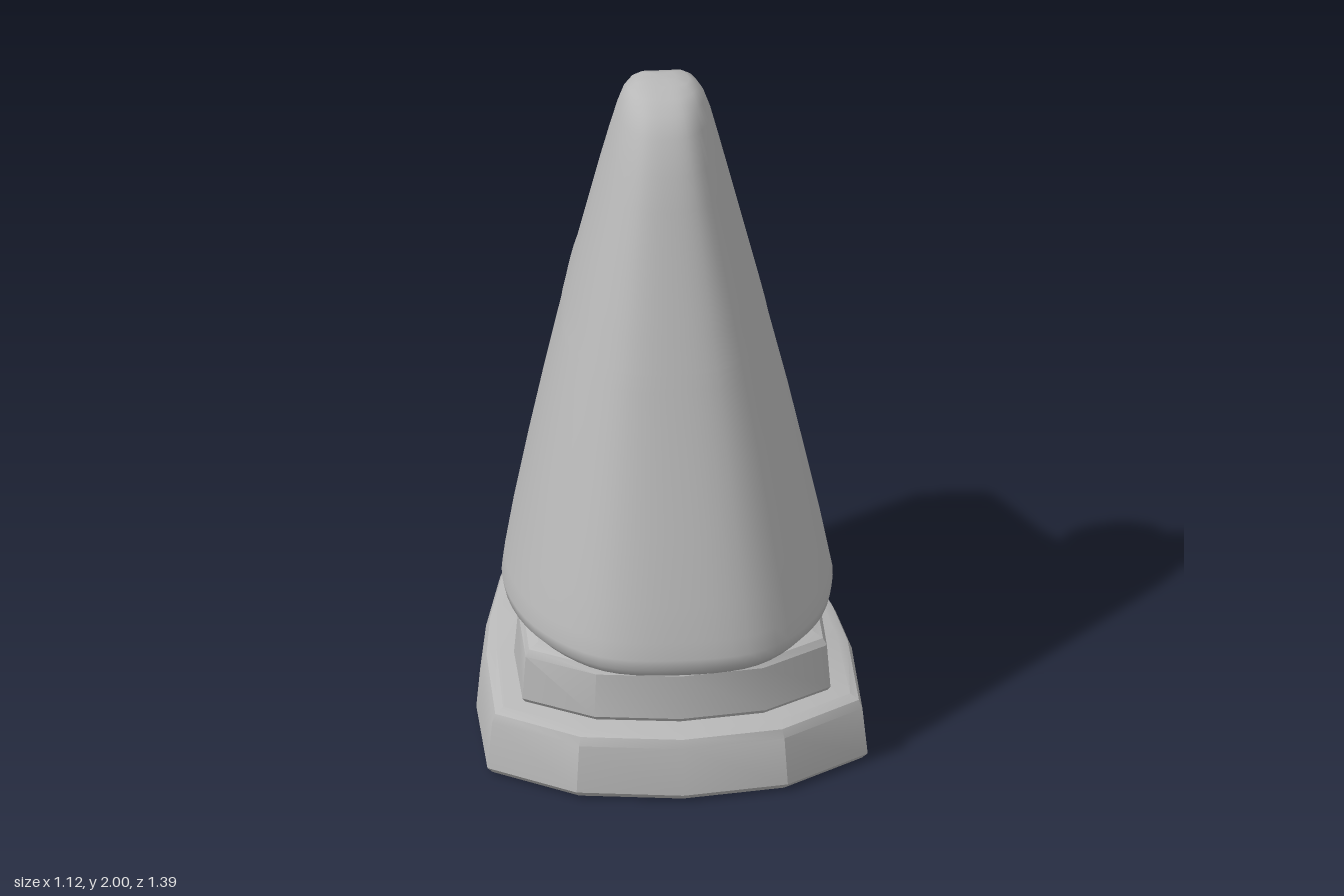
import * as THREE from 'three';
import { toCreasedNormals } from 'three/addons/utils/BufferGeometryUtils.js';

const { lerp, clamp } = THREE.MathUtils;

// Closed solid through rings of [x, y, z] points, bottom to top (front -> +x -> back -> -x)
function loft(rings) {
  const n = rings[0].length;
  const pos = [], idx = [];
  rings.forEach(r => r.forEach(p => pos.push(...p)));
  for (let j = 0; j < rings.length - 1; j++) {
    for (let i = 0; i < n; i++) {
      const a = j * n + i, b = j * n + (i + 1) % n;
      idx.push(a, b, a + n, b, b + n, a + n);
    }
  }
  [0, rings.length - 1].forEach((j, top) => {
    const c = pos.length / 3;
    const zs = rings[j].map(p => p[2]);
    pos.push(0, rings[j][0][1], (Math.min(...zs) + Math.max(...zs)) / 2);
    for (let i = 0; i < n; i++) {
      const a = j * n + i, b = j * n + (i + 1) % n;
      if (top) idx.push(c, a, b); else idx.push(c, b, a);
    }
  });
  const g = new THREE.BufferGeometry();
  g.setAttribute('position', new THREE.Float32BufferAttribute(pos, 3));
  g.setIndex(idx);
  g.computeVertexNormals();
  return g;
}

// Completes a half outline that starts and may end on x = 0
function mirrored(half) {
  const other = half.filter(p => p[0] > 0.001).reverse().map(([x, z]) => [-x, z]);
  return [...half, ...other];
}

// Angular slab with bevelled rims; levels are [y, inset]
function slab(half, levels, zMid) {
  const outline = mirrored(half);
  const rings = levels.map(([y, inset]) => outline.map(([x, z]) => {
    const k = 1 - inset / Math.hypot(x, z - zMid);
    return [x * k, y, zMid + (z - zMid) * k];
  }));
  return toCreasedNormals(loft(rings), 0.45);
}

// Body front and sides: [y, half width, front z]
const frontProfile = [
  [0.385, 0.41, 0.60], [0.395, 0.45, 0.645], [0.42, 0.478, 0.66], [0.45, 0.484, 0.657],
  [0.6, 0.454, 0.61], [1, 0.365, 0.463], [1.4, 0.267, 0.322], [1.8, 0.166, 0.18],
  [1.9, 0.14, 0.13], [1.95, 0.122, 0.085], [1.98, 0.104, 0.035], [1.995, 0.078, -0.015],
  [2, 0.04, -0.05],
];

// Body back with its notch: [y, back z, half width of the back face]
const backProfile = [
  [0.385, -0.26, 0.27], [0.395, -0.31, 0.3], [0.42, -0.385, 0.32], [0.45, -0.435, 0.33],
  [0.5, -0.48, 0.33], [0.6, -0.53, 0.305], [0.8, -0.595, 0.25], [1, -0.65, 0.18],
  [1.2, -0.695, 0.115], [1.225, -0.69, 0.11], [1.242, -0.66, 0.12], [1.25, -0.58, 0.16],
  [1.27, -0.46, 0.2], [1.3, -0.385, 0.222], [1.35, -0.32, 0.226], [1.4, -0.28, 0.22],
  [1.5, -0.237, 0.205], [1.6, -0.214, 0.185], [1.7, -0.2, 0.163], [1.8, -0.18, 0.14],
  [1.9, -0.157, 0.115], [1.95, -0.143, 0.1], [1.98, -0.132, 0.08], [1.995, -0.12, 0.06],
  [2, -0.1, 0.03],
];

// Half width and front z at height y
function frontAt(y) {
  const i = Math.max(1, frontProfile.findIndex(p => p[0] >= y));
  const [a, b] = [frontProfile[i - 1], frontProfile[i]];
  const t = (y - a[0]) / (b[0] - a[0]);
  return [lerp(a[1], b[1], t), lerp(a[2], b[2], t)];
}

// Smooth body ring: convex back face below the notch, scooped within it
function bodyRing([y, zb, bw]) {
  const [hw, zf] = frontAt(y);
  const zw = 0.16 - 0.11 * y;
  const scoop = 0.045 * Math.sin(Math.PI * Math.sqrt(clamp((y - 1.242) / 0.65, 0, 1)));
  const corner = zb + 0.028 * clamp((1.242 - y) / 0.1, 0, 1);
  const centre = zb + scoop;
  const half = [
    [0, zf],
    [hw * 0.5, lerp(zf, zw, 0.08)],
    [hw * 0.86, lerp(zf, zw, 0.45)],
    [hw, zw],
    [lerp(hw, bw, 0.42) + (hw - bw) * 0.08, lerp(zw, corner, 0.55)],
    [lerp(hw, bw, 0.94), lerp(zw, corner, 0.93)],
    [bw * 0.88, lerp(corner, centre, 0.1)],
    [bw * 0.45, lerp(corner, centre, 0.75)],
    [0, centre],
  ];
  const pts = mirrored(half).map(([x, z]) => new THREE.Vector3(x, y, z));
  const curve = new THREE.CatmullRomCurve3(pts, true, 'centripetal');
  return curve.getPoints(pts.length * 5).slice(0, -1).map(p => p.toArray());
}

export function createModel() {
  const group = new THREE.Group();
  const grey = new THREE.MeshStandardMaterial({ color: 0xb8b8b8 });
  grey.name = 'plain grey';
  const add = (name, geometry) => {
    const m = new THREE.Mesh(geometry, grey);
    m.name = name;
    group.add(m);
    return m;
  };

  // Faceted foot
  const footOutline = [
    [0, 0.695], [0.31, 0.65], [0.558, 0.48], [0.56, 0.1], [0.53, -0.13],
    [0.46, -0.43], [0.36, -0.535], [0, -0.54],
  ];
  add('base', slab(footOutline,
    [[0, 0.02], [0.02, 0], [0.165, 0.018], [0.19, 0.03], [0.203, 0.06]], 0.08));

  // Narrower collar above the foot
  const collarOutline = footOutline.map(([x, z]) => [x * 0.81, z * 0.755 + 0.077]);
  add('collar', slab(collarOutline,
    [[0.195, 0.05], [0.212, 0.01], [0.225, 0], [0.36, 0.012], [0.38, 0.025], [0.395, 0.06]], 0.13));

  // Tapering body with a scooped notch at the back
  add('body', loft(backProfile.map(bodyRing)));

  // Rounded knob under the tip
  const knob = add('knob', new THREE.SphereGeometry(1, 32, 20));
  knob.scale.set(0.1, 0.16, 0.09);
  knob.position.set(0, 1.815, -0.165);
  knob.rotation.x = 0.35;

  return group;
}
